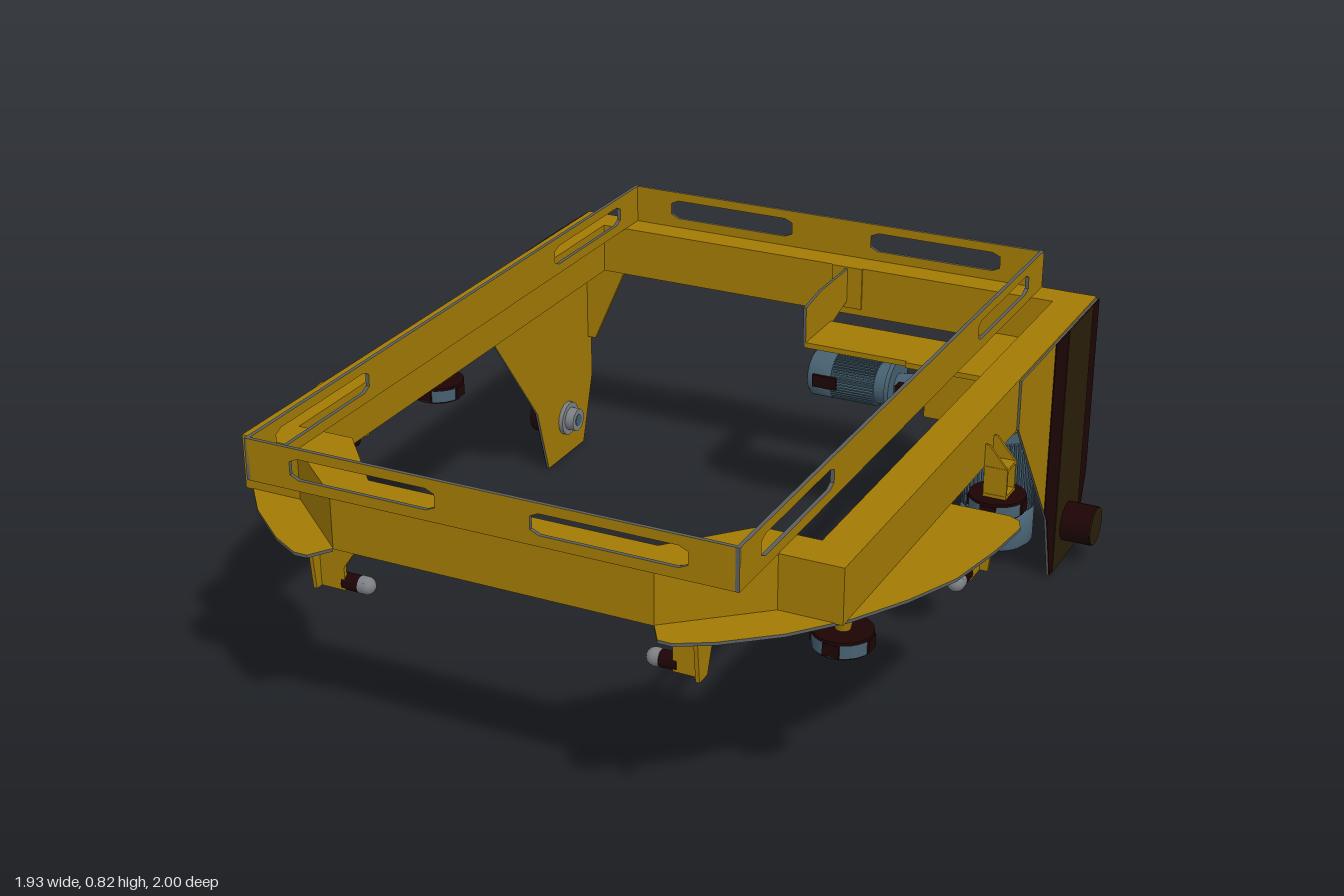
import * as THREE from 'three';

const mat = (name, color) => {
  const m = new THREE.MeshStandardMaterial({ color });
  m.name = name;
  return m;
};

export function createModel() {
  const yellow = mat('yellow paint', 0xa27a04);
  const maroon = mat('dark maroon', 0x1d0405);
  const olive = mat('dark olive', 0x291e08);
  const blue = mat('motor blue grey', 0x466070);
  const grey = mat('steel grey', 0x7c8084);
  const edge = mat('bare edge grey', 0x5a5f60);
  const sheet = [yellow, edge]; // painted faces, bare cut edges
  const root = new THREE.Group();

  const add = (geo, material, name, parent = root, x = 0, y = 0, z = 0) => {
    const m = new THREE.Mesh(geo, material);
    m.name = name;
    m.position.set(x, y, z);
    parent.add(m);
    return m;
  };
  // box from its extents
  const box = (x0, x1, y0, y1, z0, z1, material, name, parent = root) =>
    add(new THREE.BoxGeometry(Math.abs(x1 - x0), y1 - y0, z1 - z0), material, name, parent,
      (x0 + x1) / 2, (y0 + y1) / 2, (z0 + z1) / 2);
  const cyl = (r0, r1, h, material, name, parent, x, y, z, axis = 'y', n = 28) => {
    const g = new THREE.CylinderGeometry(r0, r1, h, n);
    if (axis === 'x') g.rotateZ(-Math.PI / 2);
    if (axis === 'z') g.rotateX(Math.PI / 2);
    return add(g, material, name, parent, x, y, z);
  };
  const shapeOf = (pts) => new THREE.Shape(pts.map(([a, b]) => new THREE.Vector2(a, b)));
  const extrude = (shape, depth) => new THREE.ExtrudeGeometry(shape, { depth, bevelEnabled: false });
  // plan outline [x, z], raised along y; the hole runs opposite to the outline
  const flip = (pts) => pts.map(([x, z]) => [x, -z]);
  const plan = (pts, hole, h) => {
    const s = shapeOf(flip(pts));
    if (hole) s.holes.push(shapeOf(flip(hole).reverse()));
    return extrude(s, h).rotateX(-Math.PI / 2);
  };
  // side outline [z, y], thickened along x
  const sidePlate = (pts, t) => extrude(shapeOf(pts.map(([z, y]) => [-z, y])), t)
    .rotateY(Math.PI / 2).translate(-t / 2, 0, 0);
  const mirrored = (half) => [...half, ...half.map(([x, z]) => [-x, z]).reverse()];

  // Main ring beam
  add(plan(
    mirrored([[0.775, -1], [0.775, 0.76], [0.62, 0.76], [0.41, 0.94]]),
    mirrored([[0.68, -0.912], [0.68, 0.66], [0.53, 0.66], [0.37, 0.84]]), 0.14),
  yellow, 'frameBeam', root, 0, 0.58, 0);

  // Upper rails with two slots each
  const rail = (length, slots) => {
    const s = shapeOf([[-length / 2, 0.72], [length / 2, 0.72], [length / 2, 0.825], [-length / 2, 0.825]]);
    for (const [a, b] of slots) {
      s.holes.push(shapeOf([[a, 0.757], [a + 0.022, 0.747], [b - 0.022, 0.747], [b, 0.757],
        [b, 0.79], [b - 0.022, 0.8], [a + 0.022, 0.8], [a, 0.79]]));
    }
    return extrude(s, 0.01).translate(0, 0, -0.005);
  };
  const endSlots = [[-0.5, -0.12], [0.12, 0.5]];
  add(rail(1.24, endSlots), sheet, 'frontRail', root, 0, 0, 0.955);
  add(rail(1.24, endSlots), sheet, 'backRail', root, 0, 0, -0.995);
  for (const s of [1, -1]) {
    // slot positions follow the rail centre at z = -0.02
    add(rail(1.96, [[-0.87, -0.475], [0.47, 0.86]]).rotateY(Math.PI / 2), sheet, 'sideRail', root, s * 0.615, 0, -0.02);
  }

  // Guide bracket: back plate, gusset and a stub roller pointing along local +x
  const guide = (x, z, turn, s) => {
    const g = new THREE.Group();
    g.name = 'guideBracket';
    box(-0.04, 0.035, 0.44, 0.58, -0.005, 0.005, yellow, 'guidePlate', g);
    add(sidePlate([[-0.04, 0.58], [0.05, 0.58], [0.04, 0.51], [0.015, 0.44], [-0.025, 0.44]], 0.01),
      yellow, 'guideGusset', g, -0.035, 0, 0);
    add(extrude(shapeOf([[0.035, 0.58], [0.09, 0.58], [0.035, 0.5]]), 0.01), yellow, 'guideRib', g, 0, 0, -0.005);
    cyl(0.021, 0.021, 0.045, maroon, 'guideAxle', g, 0.048, 0.457, 0.012, 'x', 16);
    cyl(0.022, 0.022, 0.016, grey, 'guideRoller', g, 0.078, 0.457, 0.012, 'x', 20);
    add(new THREE.SphereGeometry(0.022, 16, 10), grey, 'guideRollerTip', g, 0.085, 0.457, 0.012);
    cyl(0.008, 0.008, 0.02, maroon, 'guideBolt', g, 0, 0.52, 0.008, 'z', 12);
    g.position.set(x, 0, z);
    g.rotation.y = turn;
    const side = new THREE.Group();
    side.name = 'guide';
    side.scale.x = s;
    side.add(g);
    root.add(side);
  };

  // Flat roller on a vertical axle: blue rim, dark top, underside and rim pads
  const roller = (x, z, name) => {
    cyl(0.07, 0.07, 0.034, blue, name, root, x, 0.477, z);
    cyl(0.071, 0.071, 0.008, maroon, name + 'Top', root, x, 0.497, z);
    cyl(0.066, 0.066, 0.005, maroon, name + 'Underside', root, x, 0.458, z);
    cyl(0.034, 0.034, 0.006, grey, name + 'Cap', root, x, 0.456, z);
    box(x - 0.0715, x + 0.0715, 0.463, 0.493, z - 0.02, z + 0.02, maroon, name + 'Pad');
    box(x - 0.02, x + 0.02, 0.463, 0.493, z - 0.0715, z + 0.0715, maroon, name + 'Pad');
  };

  for (const s of [1, -1]) {
    // Curved bumper plate under the front corners
    add(plan([[0.7, 0.1], [0.92, 0.1], [0.95, 0.115], [0.965, 0.15], [0.952, 0.28], [0.92, 0.45], [0.86, 0.59],
      [0.78, 0.73], [0.68, 0.85], [0.56, 0.95], [0.48, 0.995], [0.445, 0.995], [0.41, 0.94],
      [0.53, 0.79], [0.62, 0.66], [0.68, 0.55], [0.7, 0.4]].map(([x, z]) => [s * x, z]), null, 0.008),
    sheet, 'bumperPlate', root, 0, 0.574, 0);

    // Rear leg with dark outer facing
    add(sidePlate([[-0.37, 0.715], [-0.37, 0.58], [-0.66, 0.2], [-0.72, 0], [-0.94, 0], [-1, 0.2], [-1, 0.715]], 0.006),
      sheet, 'leg', root, s * 0.778, 0, 0);
    add(sidePlate([[-0.637, 0.715], [-0.637, 0.23], [-0.66, 0.2], [-0.72, 0.002], [-0.94, 0.002], [-1, 0.2], [-1, 0.715]], 0.003),
      maroon, 'legFacing', root, s * 0.782, 0, 0);
    add(sidePlate([[-0.74, 0.715], [-0.74, 0.004], [-0.94, 0.004], [-0.94, 0.715]], 0.003),
      olive, 'legCentreStrip', root, s * 0.784, 0, 0);
    // Gusset between leg and back beam
    add(extrude(shapeOf([[s * 0.775, 0.58], [s * 0.64, 0.58], [s * 0.75, 0.33], [s * 0.775, 0.33]]), 0.012),
      yellow, 'legGusset', root, 0, 0, -0.99);

    // Leg wheel
    cyl(0.055, 0.055, 0.084, maroon, 'wheel', root, s * 0.826, 0.12, -0.835, 'x');
    cyl(0.053, 0.053, 0.004, olive, 'wheelFace', root, s * 0.869, 0.12, -0.835, 'x');
    cyl(0.05, 0.05, 0.014, grey, 'wheelFlange', root, s * 0.769, 0.12, -0.835, 'x');
    cyl(0.034, 0.034, 0.03, grey, 'wheelHub', root, s * 0.75, 0.12, -0.835, 'x');
    cyl(0.018, 0.018, 0.004, blue, 'wheelHubBolt', root, s * 0.735, 0.12, -0.835, 'x');

    // Side roller with fork bracket
    roller(s * 0.802, -0.165, 'sideRoller');
    box(s * 0.775, s * 0.835, 0.575, 0.583, -0.2, -0.13, yellow, 'rollerShelf');
    for (const z of [-0.195, -0.135]) {
      add(extrude(shapeOf([[s * 0.775, 0.5], [s * 0.775, 0.64], [s * 0.785, 0.64], [s * 0.835, 0.58], [s * 0.835, 0.5]]), 0.007),
        yellow, 'rollerFork', root, 0, 0, z - 0.0035);
    }
    box(s * 0.775, s * 0.835, 0.502, 0.51, -0.2, -0.13, yellow, 'forkBase');

    // Front roller with tapered post
    roller(s * 0.725, 0.635, 'frontRoller');
    cyl(0.034, 0.018, 0.08, yellow, 'rollerPost', root, s * 0.725, 0.54, 0.635, 'y', 20);

    // Front and side guides
    guide(0.46, 0.875, Math.PI, s);
    guide(0.86, 0.16, -Math.PI / 2, s);
  }

  // Finned motor hanging along -y from its flange
  const motor = (r, len, name) => {
    const g = new THREE.Group();
    g.name = name;
    const cap = len * 0.3, neck = len * 0.14, fin = len - cap - neck;
    cyl(r * 0.88, r * 0.88, neck, blue, 'motorNeck', g, 0, -neck / 2, 0);
    cyl(r * 0.86, r * 0.86, fin, blue, 'motorBody', g, 0, -neck - fin / 2, 0);
    for (let i = 0; i < 24; i++) {
      const f = add(new THREE.BoxGeometry(r * 2, fin * 0.97, r * 0.06), blue, 'motorFin', g, 0, -neck - fin / 2, 0);
      f.rotation.y = (i * Math.PI) / 24;
    }
    const profile = [[0, -len], [r * 0.88, -len], [r, -len + r * 0.12], [r, -len + cap], [0, -len + cap]];
    add(new THREE.LatheGeometry(profile.map(([a, b]) => new THREE.Vector2(a, b)), 28), blue, 'fanCowl', g);
    root.add(g);
    return g;
  };

  // Drive unit: upright motor and gearbox
  motor(0.102, 0.38, 'driveMotor').position.set(0.595, 0.42, -0.805);
  box(0.69, 0.765, 0.27, 0.3, -0.825, -0.785, blue, 'motorStub');
  box(0.763, 0.775, 0.24, 0.33, -0.84, -0.77, blue, 'motorStubFoot');
  cyl(0.125, 0.125, 0.02, yellow, 'motorFlange', root, 0.595, 0.43, -0.79);
  box(0.42, 0.68, 0.43, 0.585, -0.79, -0.66, yellow, 'gearbox');
  box(0.68, 0.735, 0.44, 0.57, -0.84, -0.74, maroon, 'gearboxCoupling');

  // Small sideways motor and its coupling
  const small = motor(0.066, 0.23, 'auxiliaryMotor');
  small.rotation.z = -Math.PI / 2;
  small.position.set(0.3, 0.472, -0.735);
  box(0.09, 0.16, 0.455, 0.49, -0.675, -0.664, maroon, 'auxiliaryTerminalBox');
  cyl(0.075, 0.075, 0.012, blue, 'auxiliaryFlange', root, 0.308, 0.472, -0.735, 'x');
  cyl(0.05, 0.035, 0.11, blue, 'auxiliaryCoupling', root, 0.37, 0.472, -0.735, 'x');
  box(0.33, 0.36, 0.44, 0.5, -0.7, -0.67, maroon, 'couplingCover');
  cyl(0.01, 0.01, 0.06, grey, 'hangerPost', root, 0.22, 0.56, -0.735, 'y', 12);

  // Drive support tray tied to the back beam
  add(plan([[0.083, -0.795], [0.46, -0.795], [0.5, -0.9], [0.53, -0.912], [0.69, -0.912], [0.69, -0.61],
    [0.38, -0.61], [0.38, -0.62], [0.083, -0.62]], null, 0.015), yellow, 'supportTray', root, 0, 0.585, 0);
  add(sidePlate([[-0.912, 0.715], [-0.912, 0.62], [-0.8, 0.59], [-0.62, 0.59], [-0.62, 0.7], [-0.72, 0.715]], 0.008),
    sheet, 'trayEndPlate', root, 0.083, 0, 0);
  box(0.04, 0.13, 0.6, 0.72, -0.915, -0.907, yellow, 'trayMount');

  return root;
}
